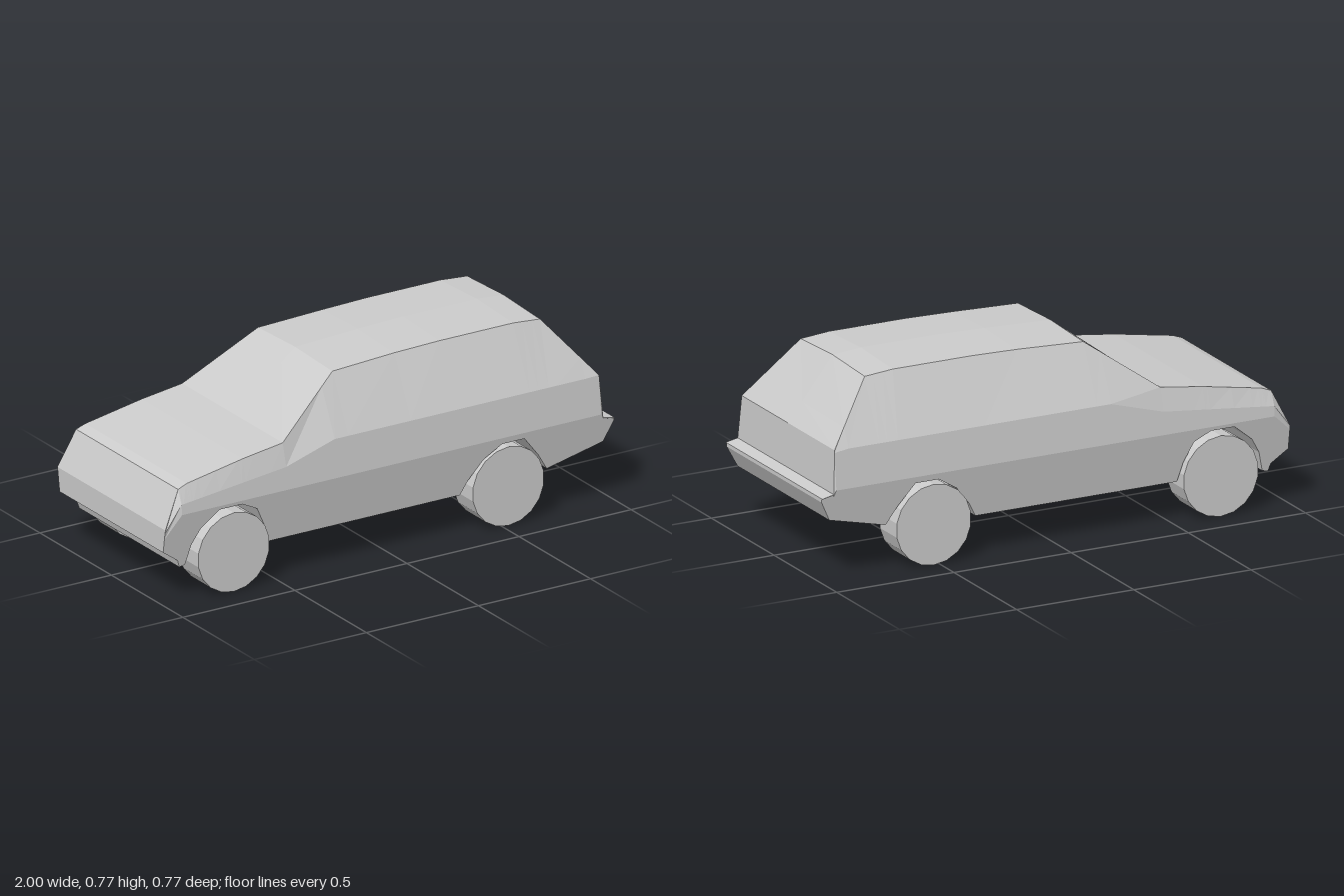
import * as THREE from 'three';

const mat = new THREE.MeshStandardMaterial({ color: 0xcccccc, flatShading: true });

// Side-view outlines, front of the car at -x
const BOTTOM = [[-1, .215], [-.93, .165], [-.92, .135], [-.895, .14], [-.875, .22], [-.84, .28], [-.76, .345],
  [-.66, .345], [-.59, .31], [-.55, .23], [-.53, .155], [.33, .155], [.36, .21], [.42, .285], [.5, .335],
  [.6, .335], [.67, .25], [.715, .18], [.96, .24], [1, .32]];
// x, height of roof or bonnet edge, half width there, crown at the middle
const TOP = [[-1, .31, .378, 0], [-.93, .455, .357, 0], [-.89, .47, .355, 0], [-.64, .515, .354, 0],
  [-.46, .54, .352, 0], [-.18, .738, .26, .01], [.1, .75, .255, .01], [.3, .755, .255, .011],
  [.63, .755, .255, .011], [.75, .745, .255, .011], [.94, .515, .37, 0], [.95, .345, .384, 0], [1, .335, .385, 0]];
const BELT = [[-1, .295], [-.93, .40], [-.46, .45], [-.24, .513], [.88, .513], [.94, .505], [.95, .34], [1, .332]];
const WAIST = [[-1, .27], [-.93, .36], [.94, .36], [.95, .335], [1, .327]];

// Value of column k of a polyline at x
function at(line, x, k = 1) {
  let i = 1;
  while (i < line.length - 1 && line[i][0] < x) i++;
  const a = line[i - 1], b = line[i];
  return THREE.MathUtils.mapLinear(x, a[0], b[0], a[k], b[k]);
}

// Half width of the flank at height y, widest just above the wheel arches
function flank(y) {
  return y < .36 ? THREE.MathUtils.mapLinear(y, .15, .36, .352, .385)
    : THREE.MathUtils.mapLinear(y, .36, .515, .385, .37);
}

// Closed cross-section at x, from bottom middle up the left flank and back down
function section(x) {
  const bottom = at(BOTTOM, x), waist = at(WAIST, x), belt = at(BELT, x), top = at(TOP, x);
  const half = [[bottom, flank(bottom)], [waist, flank(waist)], [belt, flank(belt)], [top, at(TOP, x, 2)]];
  return [
    [x, bottom, 0],
    ...half.map(([y, z]) => [x, y, z]),
    [x, top + at(TOP, x, 3), 0],
    ...half.slice().reverse().map(([y, z]) => [x, y, -z]),
  ];
}

function bodyGeometry() {
  const xs = [...new Set([BOTTOM, TOP, BELT, WAIST].flat().map((p) => p[0]))].sort((a, b) => a - b);
  const rings = xs.map(section);
  const n = rings[0].length, pos = [];
  const tri = (a, b, c) => pos.push(...a, ...b, ...c);
  for (let i = 0; i < rings.length - 1; i++) {
    for (let j = 0; j < n; j++) {
      const k = (j + 1) % n;
      tri(rings[i][j], rings[i + 1][j], rings[i + 1][k]);
      tri(rings[i][j], rings[i + 1][k], rings[i][k]);
    }
  }
  // Nose and tail caps
  const first = rings[0], last = rings[rings.length - 1];
  for (let j = 1; j < n - 1; j++) {
    tri(first[0], first[j], first[j + 1]);
    tri(last[0], last[j + 1], last[j]);
  }
  const geo = new THREE.BufferGeometry();
  geo.setAttribute('position', new THREE.Float32BufferAttribute(pos, 3));
  geo.computeVertexNormals();
  return geo;
}

export function createModel() {
  const car = new THREE.Group();
  car.name = 'car';

  const body = new THREE.Mesh(bodyGeometry(), mat);
  body.name = 'body';
  car.add(body);

  // Four plain wheels
  const wheelGeo = new THREE.CylinderGeometry(.16, .16, .136, 18).rotateX(Math.PI / 2);
  for (const [end, x] of [['front', -.7], ['rear', .525]]) {
    for (const [side, s] of [['Left', 1], ['Right', -1]]) {
      const wheel = new THREE.Mesh(wheelGeo, mat);
      wheel.name = `${end}${side}Wheel`;
      wheel.position.set(x, .16, s * .318);
      car.add(wheel);
    }
  }
  return car;
}
